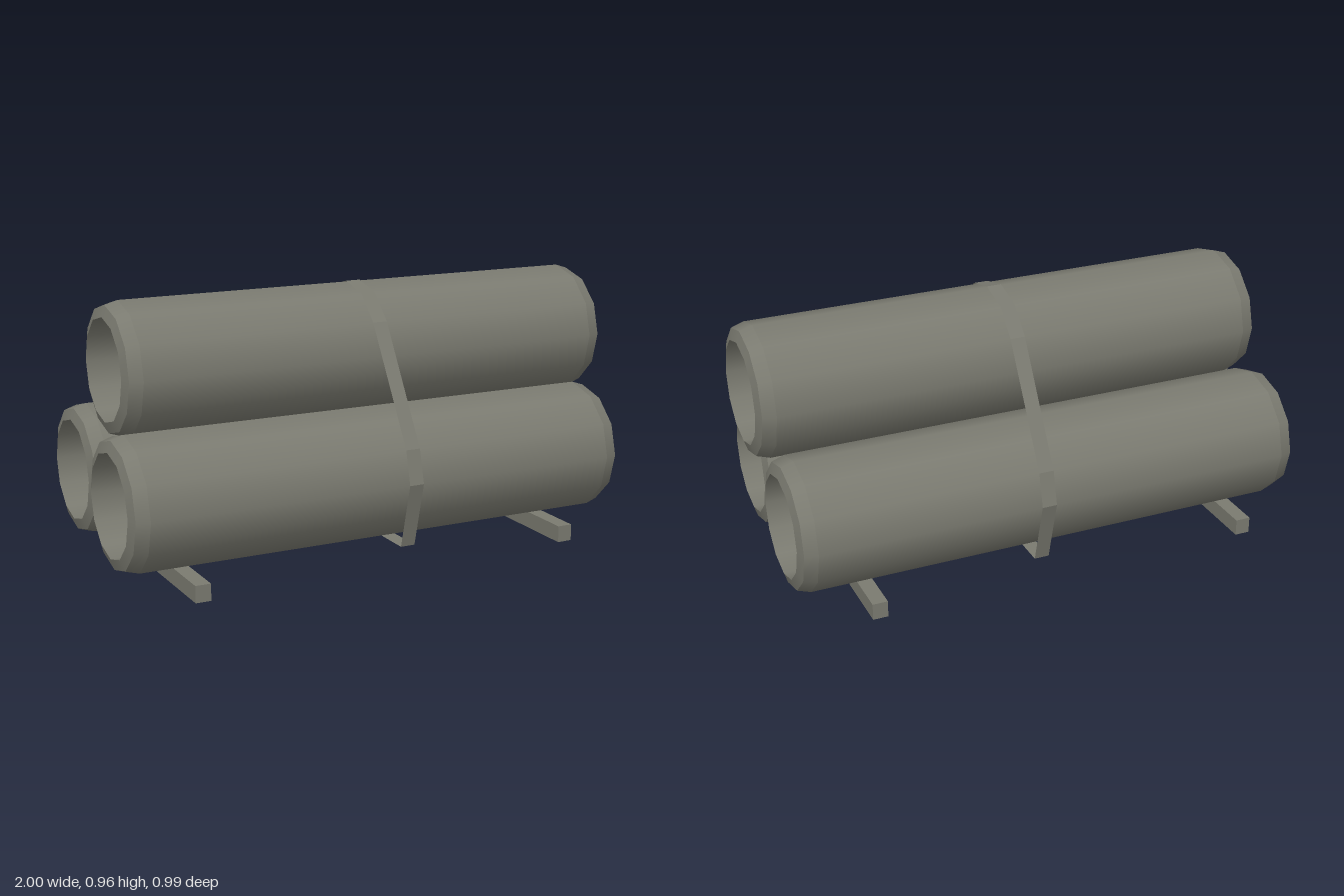
import * as THREE from 'three';
import { mergeGeometries } from 'three/addons/utils/BufferGeometryUtils.js';

const LENGTH = 1.92;
const OUTER = 0.241, CHAMFER = 0.226, BORE = 0.186;

// Hollow twelve-sided pipe along x: smooth around, creased between the bands
function pipeGeometry() {
  const h = LENGTH / 2;
  const profile = [
    [BORE, -h], [CHAMFER, -h + 0.013], [OUTER, -h + 0.06],
    [OUTER, h - 0.06], [CHAMFER, h - 0.013], [BORE, h], [BORE, -h],
  ].map(([r, y]) => new THREE.Vector2(r, y));
  const bands = [];
  for (let i = 0; i < profile.length - 1; i++) {
    bands.push(new THREE.LatheGeometry([profile[i], profile[i + 1]], 12));
  }
  return mergeGeometries(bands).rotateZ(-Math.PI / 2);
}

// Thin band swept along a closed path of [z, y] points
function strapGeometry(path, width) {
  const pieces = path.map(([z, y], i) => {
    const [z2, y2] = path[(i + 1) % path.length];
    const piece = new THREE.PlaneGeometry(width, Math.hypot(z2 - z, y2 - y));
    piece.rotateX(Math.atan2(z - z2, y - y2));
    return piece.translate(0, (y + y2) / 2, (z + z2) / 2);
  });
  return mergeGeometries(pieces);
}

export function createModel() {
  const model = new THREE.Group();
  model.name = 'pipeStack';
  const grey = new THREE.MeshStandardMaterial({ color: 0x7a7a70, side: THREE.DoubleSide });
  grey.name = 'warmGrey';

  const add = (name, geometry, x, y, z) => {
    const mesh = new THREE.Mesh(geometry, grey);
    mesh.name = name;
    mesh.position.set(x, y, z);
    model.add(mesh);
  };

  // Three pipes, slightly shifted along their length
  const pipe = pipeGeometry();
  add('frontPipe', pipe, -0.04, 0.302, 0.25);
  add('backPipe', pipe, -0.005, 0.302, -0.25);
  add('topPipe', pipe, 0.04, 0.713, 0);

  // Support beams under the stack
  const beam = new THREE.BoxGeometry(0.056, 0.061, 0.968);
  add('rightBeam', beam, -0.76, 0.0305, 0);
  add('leftBeam', beam, 0.685, 0.0305, 0);

  // Strap round the bundle, mirrored front to back
  const half = [[0.122, 0.926], [0.212, 0.836], [0.462, 0.424], [0.493, 0.302], [0.43, 0.061]];
  const mirrored = half.map(([z, y]) => [-z, y]).reverse();
  add('strap', strapGeometry([[0, 0.957], ...half, ...mirrored], 0.055), 0.048, 0, 0);

  return model;
}
